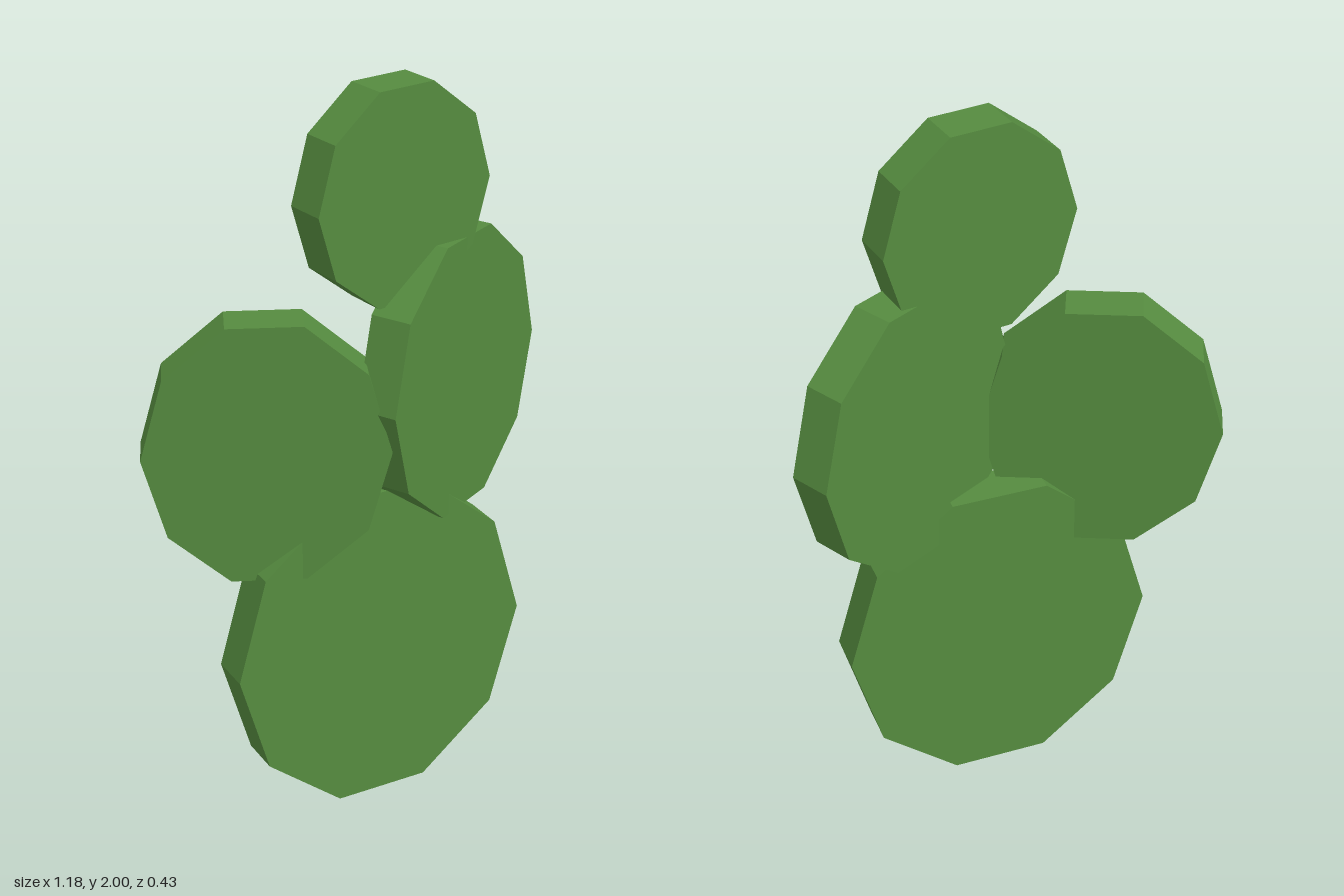
import * as THREE from 'three';

const THICKNESS = 0.115;

// name, centre (x, y, z), half width, half height, turn about y in degrees
const PADS = [
  ['basePad', [0.015, 0.46, 0.028], 0.427, 0.484, 0],
  ['leftPad', [0.2575, 1.187, -0.0025], 0.346, 0.402, 28],
  ['rightPad', [-0.279, 1.08, -0.0025], 0.319, 0.373, -24],
  ['topPad', [0.07, 1.72, 0.025], 0.266, 0.294, 8.1],
];

export function createModel() {
  const group = new THREE.Group();
  group.name = 'cactus';
  const green = new THREE.MeshStandardMaterial({ color: 0x558b3f, flatShading: true });
  green.name = 'cactusGreen';

  // ten-sided upright disc with corners pointing to both sides
  const disc = new THREE.CylinderGeometry(1, 1, THICKNESS, 10);
  disc.rotateY(Math.PI / 2);
  disc.rotateX(Math.PI / 2);

  for (const [name, centre, halfWidth, halfHeight, turn] of PADS) {
    const pad = new THREE.Mesh(disc, green);
    pad.name = name;
    pad.position.set(...centre);
    pad.scale.set(halfWidth, halfHeight, 1);
    pad.rotation.y = THREE.MathUtils.degToRad(turn);
    group.add(pad);
  }
  return group;
}
